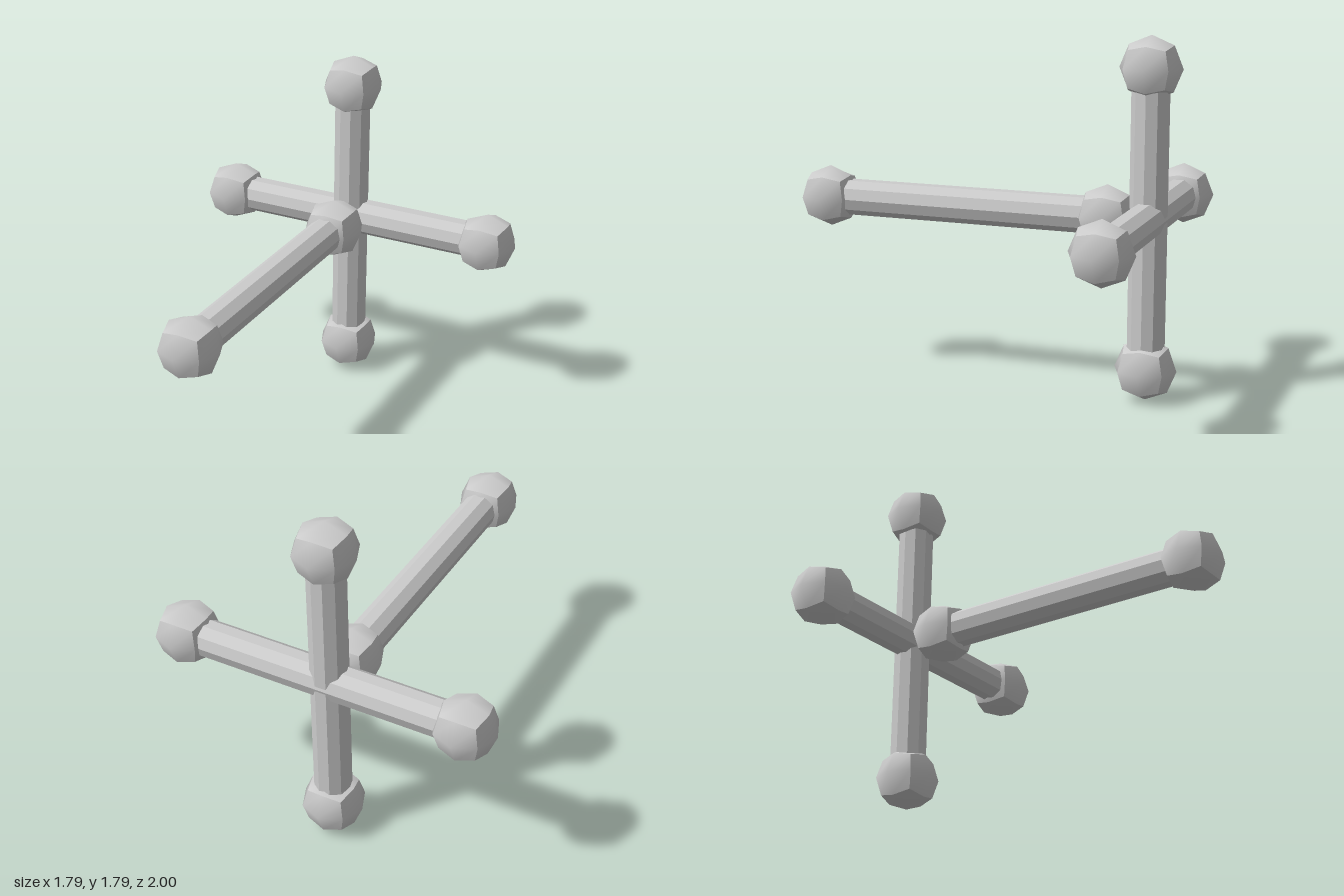
import * as THREE from 'three';

const KNOB_R = 0.157;
const ROD_R = 0.0925;
const HUB_X = -0.042, HUB_Y = 0.91, BACK_Z = -0.84;

// Cube inflated to a sphere: six softly shaded faces with creases between them
function knobGeometry() {
  const geo = new THREE.BoxGeometry(1, 1, 1, 2, 2, 2);
  const pos = geo.attributes.position;
  const v = new THREE.Vector3();
  for (let i = 0; i < pos.count; i++) {
    v.fromBufferAttribute(pos, i).setLength(KNOB_R);
    pos.setXYZ(i, v.x, v.y, v.z);
  }
  geo.computeVertexNormals();
  return geo;
}

export function createModel() {
  const model = new THREE.Group();
  const smooth = new THREE.MeshStandardMaterial({ color: 0xcccccc });
  const faceted = new THREE.MeshStandardMaterial({ color: 0xcccccc, flatShading: true });
  const knobGeo = knobGeometry();

  // A ten-sided rod along one axis with a knob on each end
  function addBar(name, axis, start, end) {
    const a = new THREE.Vector3(...start);
    const b = new THREE.Vector3(...end);
    const bar = new THREE.Group();
    bar.name = name;

    const rodGeo = new THREE.CylinderGeometry(ROD_R, ROD_R, a.distanceTo(b), 10);
    if (axis === 'x') rodGeo.rotateZ(Math.PI / 2);
    else rodGeo.rotateY(Math.PI / 2);
    if (axis === 'z') rodGeo.rotateX(Math.PI / 2);
    const rod = new THREE.Mesh(rodGeo, faceted);
    rod.name = name + 'Rod';
    rod.position.copy(a).lerp(b, 0.5);
    bar.add(rod);

    [a, b].forEach((p, i) => {
      const knob = new THREE.Mesh(knobGeo, smooth);
      knob.name = name + (i ? 'EndKnob' : 'StartKnob');
      knob.position.copy(p);
      bar.add(knob);
    });
    model.add(bar);
  }

  addBar('crossBar', 'x', [-0.74, HUB_Y, BACK_Z], [0.737, HUB_Y, BACK_Z]);
  addBar('upright', 'y', [HUB_X, 0.16, BACK_Z], [HUB_X, 1.64, BACK_Z]);
  addBar('forwardBar', 'z', [HUB_X, HUB_Y, -0.635], [HUB_X, HUB_Y, 0.843]);

  return model;
}
